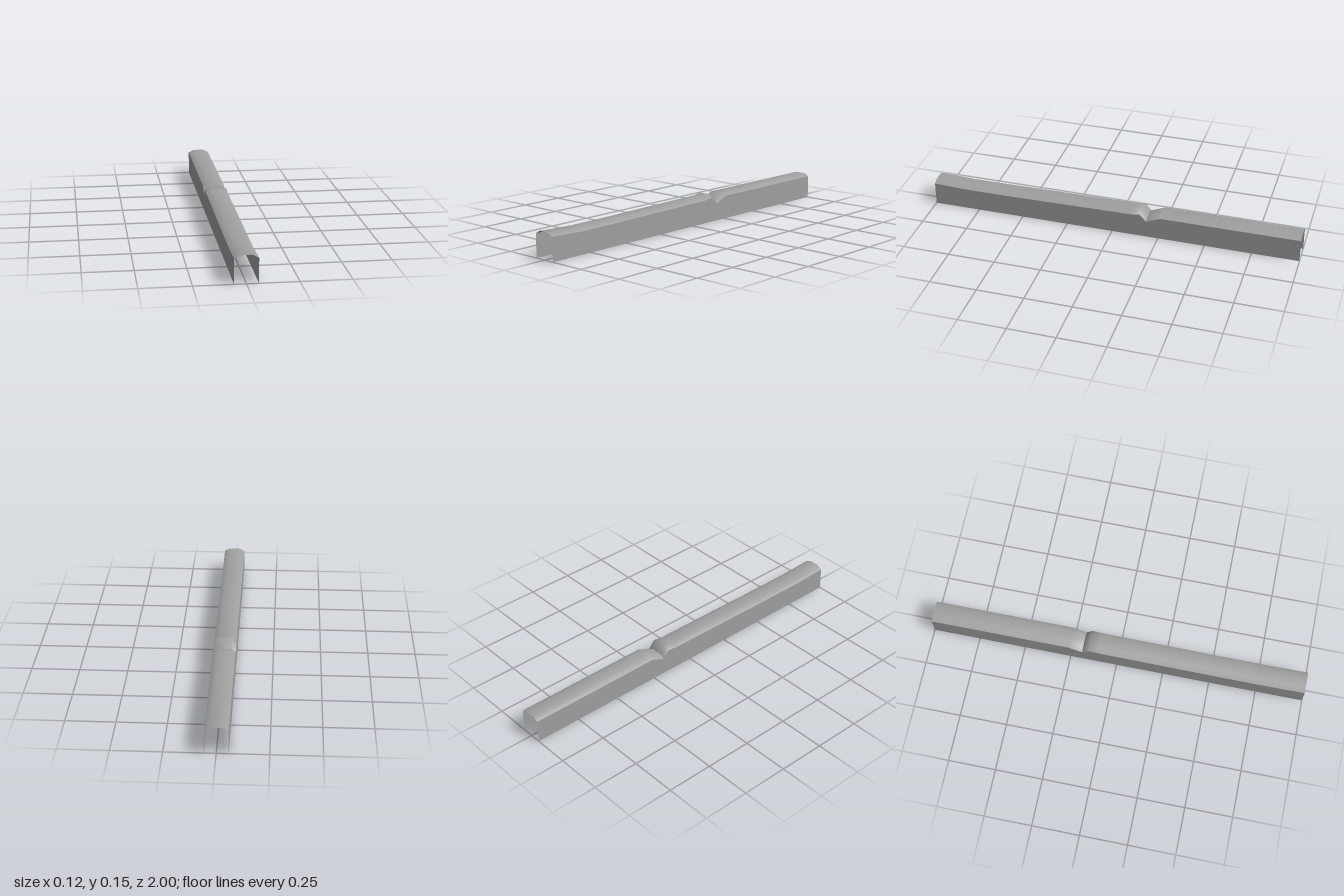
import * as THREE from 'three';

const HALF = 0.058;   // half width of the cover
const FLAT = 0.03;    // half width of the flat crown
const DROP = 0.0155;  // height lost over each bevel

// Crown line from front to back as [z, y], split at the sharp notch
const frontLine = [[1, 0.139], [0.8, 0.131], [0.55, 0.132], [0.3, 0.135], [-0.1, 0.139], [-0.15, 0.147], [-0.185, 0.1075]];
const rearLine = [[-0.185, 0.1075], [-0.26, 0.139], [-1, 0.139]];

// Surface through equal rows of points; the front side is the one across-row x along-rows
function sheet(rows) {
  const n = rows[0].length, index = [];
  for (let r = 0; r < rows.length - 1; r++) {
    for (let c = 0; c < n - 1; c++) {
      const a = r * n + c, b = a + 1, d = a + n, e = d + 1;
      index.push(a, b, d, b, e, d);
    }
  }
  const g = new THREE.BufferGeometry();
  g.setAttribute('position', new THREE.Float32BufferAttribute(rows.flat(2), 3));
  g.setIndex(index);
  g.computeVertexNormals();
  return g;
}

export function createModel() {
  const group = new THREE.Group();
  group.name = 'channelCover';
  const grey = new THREE.MeshStandardMaterial({ color: 0xa0a0a0, side: THREE.DoubleSide });
  grey.name = 'grey';

  const add = (name, rows) => {
    const mesh = new THREE.Mesh(sheet(rows), grey);
    mesh.name = name;
    group.add(mesh);
  };

  // Bevelled roof, smooth on either side of the notch
  const arch = ([z, y]) => [[-HALF, y - DROP, z], [-FLAT, y, z], [FLAT, y, z], [HALF, y - DROP, z]];
  add('frontRoof', frontLine.map(arch));
  add('rearRoof', rearLine.map(arch));

  // Flat side walls, open at the bottom and both ends
  const line = [...frontLine, ...rearLine.slice(1)];
  add('leftWall', line.map(([z, y]) => [[HALF, y - DROP, z], [HALF, 0, z]]));
  add('rightWall', line.map(([z, y]) => [[-HALF, 0, z], [-HALF, y - DROP, z]]));

  return group;
}
